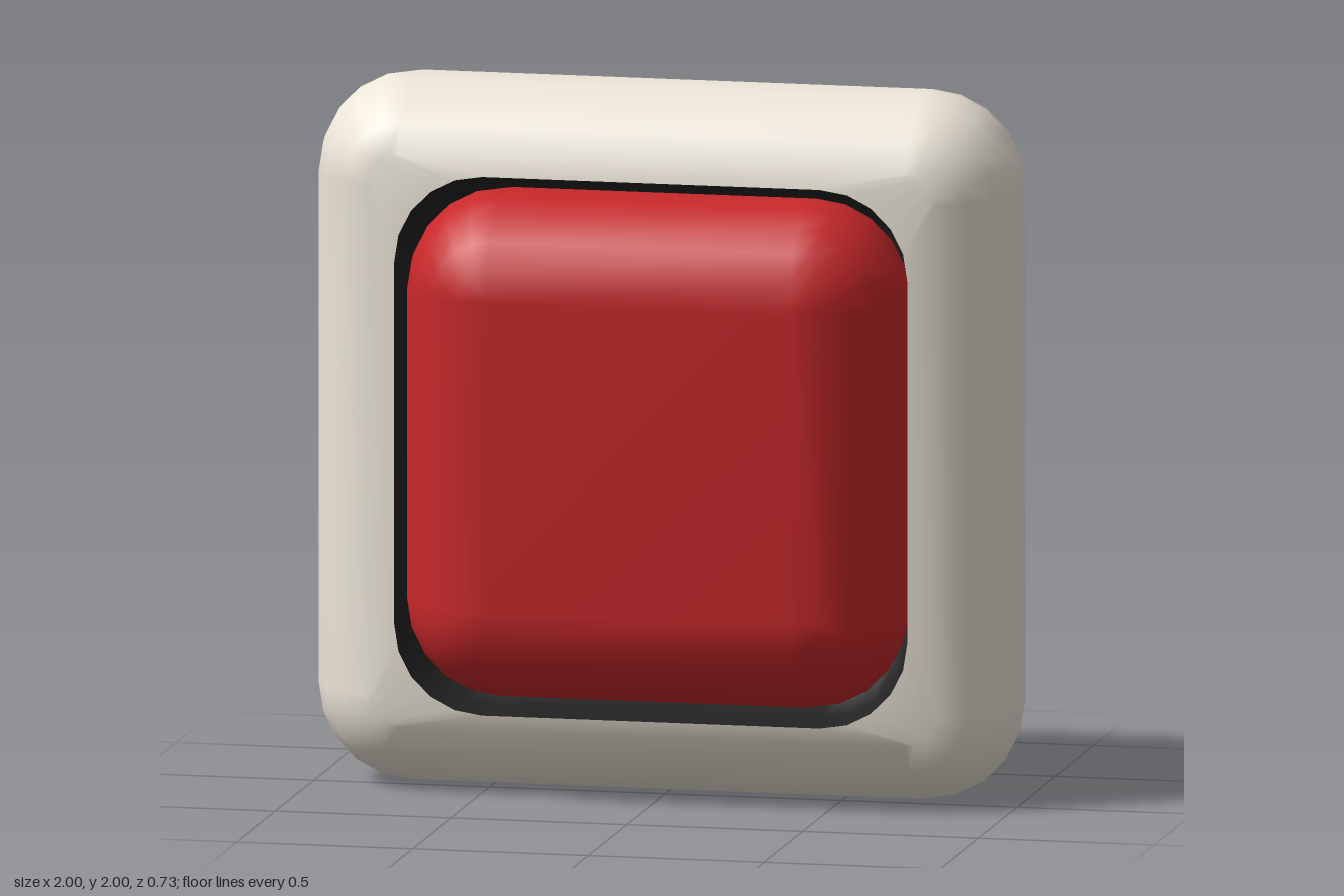
import * as THREE from 'three';
import { mergeVertices } from 'three/addons/utils/BufferGeometryUtils.js';

const SEG = 5; // facets per quarter turn

// Rounded rectangle, counter-clockwise seen from the front
function ring(cy, halfW, halfH, radius, z) {
  const points = [];
  [[1, 1], [-1, 1], [-1, -1], [1, -1]].forEach(([sx, sy], corner) => {
    for (let i = 0; i <= SEG; i++) {
      const a = (corner + i / SEG) * Math.PI / 2;
      points.push([
        sx * (halfW - radius) + radius * Math.cos(a),
        cy + sy * (halfH - radius) + radius * Math.sin(a),
        z,
      ]);
    }
  });
  return points;
}

// Rings of a pillow-edged box from back to front
function pillowRings(cy, halfW, halfH, zMid, radius, lastStep) {
  const rings = [];
  for (let i = -SEG; i <= lastStep; i++) {
    const a = i / SEG * Math.PI / 2;
    const r = Math.max(radius * Math.cos(a), 0);
    rings.push(ring(cy, halfW - radius + r, halfH - radius + r, r, zMid + radius * Math.sin(a)));
  }
  return rings;
}

// Skin through the rings, with optional flat caps
function loft(rings, capStart, capEnd) {
  const n = rings[0].length;
  const positions = rings.flat(2);
  const index = [];
  for (let k = 0; k < rings.length - 1; k++) {
    for (let i = 0; i < n; i++) {
      const j = (i + 1) % n;
      const a = k * n + i, b = k * n + j;
      index.push(a, b, b + n, a, b + n, a + n);
    }
  }
  const last = (rings.length - 1) * n;
  for (let i = 1; i < n - 1; i++) {
    if (capStart) index.push(0, i + 1, i);
    if (capEnd) index.push(last, last + i, last + i + 1);
  }
  const geometry = new THREE.BufferGeometry();
  geometry.setAttribute('position', new THREE.Float32BufferAttribute(positions, 3));
  geometry.setIndex(index);
  const welded = mergeVertices(geometry, 1e-4);
  welded.computeVertexNormals();
  return welded;
}

export function createModel() {
  const model = new THREE.Group();
  const add = (name, geometry, color) => {
    const mesh = new THREE.Mesh(geometry, new THREE.MeshStandardMaterial({ color }));
    mesh.name = name;
    model.add(mesh);
  };

  const holeY = 0.995;
  const rim = ring(holeY, 0.73, 0.76, 0.25, 0.188);

  // Casing: thick plate with fully rounded edges and an opening in front
  add('casing', loft([...pillowRings(1, 1, 1, -0.088, 0.278, SEG - 1), rim], true, false), 0xece5d8);

  // Dark recess around the button
  add('recess', loft([
    rim,
    ring(holeY, 0.72, 0.745, 0.25, 0.085),
    ring(holeY, 0.69, 0.71, 0.25, -0.08),
    ring(holeY, 0.55, 0.57, 0.2, -0.22),
  ], false, true), 0x222222);

  // Raised cushion-shaped button
  add('button', loft(pillowRings(0.993, 0.71, 0.717, 0.087, 0.28, SEG), true, true), 0xc8282a);

  return model;
}
